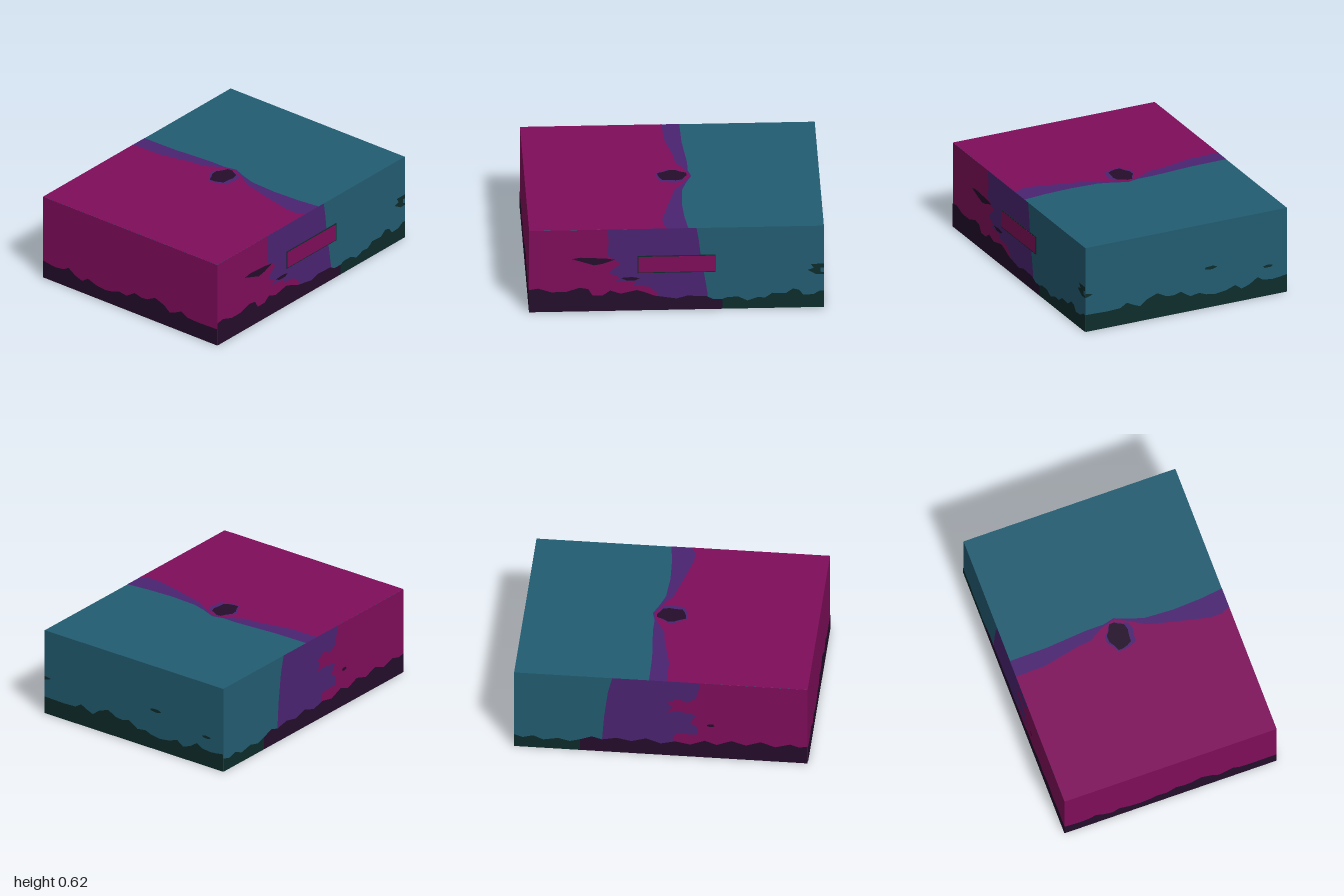
import * as THREE from 'three';

const W = 1, H = 0.62, D = 0.765;
const mat = (name, color) => {
  const m = new THREE.MeshStandardMaterial({ color });
  m.name = name;
  return m;
};

export function createModel() {
  const teal = mat('teal', 0x225c71), magenta = mat('magenta', 0x7f0d5a);
  const purple = mat('purple', 0x4a2371);
  const darkPlum = mat('dark plum', 0x240d2b), darkGreen = mat('dark green', 0x0d2b2b);
  const model = new THREE.Group();
  model.name = 'paintedBox';

  const add = (parent, geometry, material, name) => {
    const mesh = new THREE.Mesh(geometry, material);
    mesh.name = name;
    parent.add(mesh);
    return mesh;
  };

  // A flat painted patch lying just above a face
  const patch = (face, points, material, layer, name) => {
    const shape = new THREE.Shape(points.map(([u, v]) => new THREE.Vector2(u, v)));
    add(face, new THREE.ShapeGeometry(shape), material, name).position.z = layer * 0.0008;
  };

  // An irregular painted blot
  const blot = (face, u, v, ru, rv, material, layer, name) => {
    const pts = [];
    for (let i = 0; i < 14; i++) {
      const a = (i / 14) * Math.PI * 2, r = 1 + 0.1 * Math.sin(i * 2.3 + u * 9);
      pts.push([u + ru * r * Math.cos(a), v + rv * r * Math.sin(a)]);
    }
    patch(face, pts, material, layer, name);
  };

  // A ragged dark band along the foot of a side
  const band = (face, top, material, name) =>
    patch(face, [[top[0][0], 0], ...top, [top[top.length - 1][0], 0]], material, 3, name);

  const face = (name, x, y, z, rx, ry) => {
    const g = new THREE.Group();
    g.name = name;
    g.position.set(x, y, z);
    g.rotation.set(rx, ry, 0);
    model.add(g);
    return g;
  };

  // Solid body, with its left-hand end magenta
  const body = add(model, new THREE.BoxGeometry(2 * W - 0.002, H - 0.002, 2 * D - 0.002),
    [teal, magenta, teal, teal, teal, teal], 'body');
  body.position.y = H / 2;

  const q = Math.PI / 2;
  const front = face('frontPaint', 0, 0, D - 0.001, 0, 0);
  const back = face('backPaint', 0, 0, 1e-3 - D, 0, Math.PI);
  const plusX = face('leftPaint', W - 0.001, 0, 0, 0, q);
  const minusX = face('rightPaint', 1e-3 - W, 0, 0, 0, -q);
  const top = face('topPaint', 0, H - 0.001, 0, -q, 0);
  const bottom = face('bottomPaint', 0, 0.001, 0, q, 0);

  // Front: purple middle, magenta end, ragged foot
  patch(front, [[-0.6, 0], [0.21, 0], [0.21, 0.12], [0.19, 0.25], [0.165, 0.4], [0.15, 0.53],
    [0.135, H], [-0.6, H]], purple, 1, 'purpleMiddle');
  patch(front, [[-W, 0], [-0.15, 0], [-0.13, 0.13], [-0.19, 0.18], [-0.3, 0.19], [-0.28, 0.215],
    [-0.42, 0.225], [-0.38, 0.25], [-0.46, 0.29], [-0.38, 0.36], [-0.47, 0.42], [-0.46, 0.53],
    [-0.47, H], [-W, H]], magenta, 2, 'magentaEnd');
  band(front, [[-1, 0.17], [-0.94, 0.18], [-0.85, 0.15], [-0.75, 0.15], [-0.66, 0.18], [-0.6, 0.17],
    [-0.57, 0.12], [-0.5, 0.12], [-0.45, 0.155], [-0.38, 0.13], [-0.27, 0.155], [-0.22, 0.14],
    [-0.15, 0.11], [0, 0.085], [0.07, 0.105], [0.2, 0.1], [0.25, 0.075], [0.31, 0.075]],
  darkPlum, 'plumFoot');
  band(front, [[0.31, 0.075], [0.35, 0.09], [0.42, 0.09], [0.48, 0.06], [0.55, 0.085], [0.6, 0.08],
    [0.65, 0.115], [0.74, 0.11], [0.79, 0.145], [0.83, 0.135], [0.86, 0.095], [0.93, 0.1],
    [0.97, 0.125], [1, 0.125]], darkGreen, 'greenFoot');
  patch(front, [[-0.71, 0.4], [-0.56, 0.35], [-0.5, 0.36], [-0.42, 0.39], [-0.48, 0.4],
    [-0.65, 0.41]], darkPlum, 3, 'blot');
  patch(front, [[-0.38, 0.25], [-0.34, 0.23], [-0.28, 0.23], [-0.25, 0.245], [-0.3, 0.255]],
    darkPlum, 3, 'blot');
  patch(front, [[0.89, 0.285], [0.95, 0.25], [1, 0.25], [1, 0.265], [0.975, 0.27], [0.975, 0.3],
    [1, 0.3], [1, 0.33], [0.91, 0.33], [0.93, 0.3]], darkGreen, 3, 'blot');

  // Raised label plate on a thin dark rim
  const rim = add(model, new THREE.BoxGeometry(0.53, 0.13, 0.005), darkGreen, 'plateRim');
  rim.position.set(0, 0.35, D + 0.0025);
  const plate = add(model, new THREE.BoxGeometry(0.518, 0.118, 0.006), magenta, 'plate');
  plate.position.set(0, 0.35, D + 0.003);

  // Back (u runs toward -x)
  patch(back, [[-0.4, 0], [-0.4, 0.1], [-0.385, 0.3], [-0.36, 0.5], [-0.33, H], [0.4, H], [0.4, 0]],
    purple, 1, 'purpleMiddle');
  patch(back, [[0.2, 0], [0.08, 0.14], [0.1, 0.18], [0.25, 0.19], [0.25, 0.25], [0.2, 0.28],
    [0.24, 0.35], [0.14, 0.37], [0.04, 0.36], [0.08, 0.41], [0.04, 0.44], [0.12, 0.48], [0.18, 0.45],
    [0.24, 0.49], [0.27, H], [W, H], [W, 0]], magenta, 2, 'magentaEnd');
  band(back, [[-1, 0.1], [-0.94, 0.08], [-0.87, 0.1], [-0.8, 0.07], [-0.7, 0.09], [-0.62, 0.07],
    [-0.55, 0.09]], darkGreen, 'greenFoot');
  band(back, [[-0.55, 0.09], [-0.47, 0.12], [-0.4, 0.1], [-0.3, 0.12], [-0.2, 0.1], [-0.1, 0.13],
    [0, 0.095], [0.1, 0.12], [0.2, 0.1], [0.3, 0.14], [0.38, 0.11], [0.48, 0.15], [0.58, 0.12],
    [0.68, 0.155], [0.78, 0.12], [0.88, 0.15], [0.94, 0.13], [1, 0.14]], darkPlum, 'plumFoot');
  blot(back, 0.34, 0.27, 0.025, 0.012, darkPlum, 3, 'blot');

  // Ends: ragged feet and small blots (u runs along z)
  const endTop = [[-0.765, 0.125], [-0.6, 0.12], [-0.5, 0.125], [-0.45, 0.155], [-0.4, 0.13],
    [-0.35, 0.11], [-0.3, 0.15], [-0.22, 0.18], [-0.15, 0.145], [-0.1, 0.14], [-0.04, 0.155],
    [0.03, 0.11], [0.1, 0.12], [0.15, 0.1], [0.22, 0.09], [0.3, 0.1], [0.37, 0.125], [0.42, 0.09],
    [0.48, 0.11], [0.54, 0.15], [0.58, 0.125], [0.65, 0.115], [0.7, 0.12], [0.765, 0.13]];
  band(plusX, endTop, darkGreen, 'greenFoot');
  band(minusX, endTop.map(([u, v]) => [-u, v]).reverse(), darkPlum, 'plumFoot');
  blot(plusX, 0.185, 0.29, 0.045, 0.012, darkGreen, 3, 'blot');
  blot(plusX, 0.62, 0.217, 0.036, 0.01, darkGreen, 3, 'blot');
  patch(plusX, [[-0.765, 0.25], [-0.73, 0.26], [-0.71, 0.27], [-0.765, 0.28]], darkGreen, 3, 'blot');

  // Top and bottom: two colours meeting at a purple seam with a central spot
  const tealEdge = [[0.08, -D], [0.085, -0.5], [0.11, -0.2], [0.11, -0.08], [0.13, 0],
    [0.09, 0.1], [0.06, 0.2], [0.05, 0.4], [0.06, 0.6], [0.08, D]];
  const magentaEdge = [[-0.04, -D], [-0.035, -0.55], [0.02, -0.3], [0.03, -0.2], [0.09, -0.1],
    [0.12, 0], [0.07, 0.1], [0.01, 0.2], [-0.04, 0.4], [-0.09, 0.62], [-0.09, 0.7], [-0.06, D]];
  for (const [f, s] of [[top, -1], [bottom, 1]]) {
    const flip = ([x, z]) => [x, z * s];
    patch(f, [[-0.3, -D], ...tealEdge, [-0.3, D]].map(flip), purple, 1, 'purpleSeam');
    patch(f, [[-W, -D], ...magentaEdge, [-W, D]].map(flip), magenta, 2, 'magentaHalf');
    blot(f, -0.005, 0, 0.105, 0.1, purple, 3, 'spotRing');
    blot(f, 0, -0.01 * s, 0.1, 0.075, darkPlum, 4, 'spot');
  }
  blot(bottom, 0.15, -0.72, 0.03, 0.015, darkPlum, 3, 'blot');
  return model;
}
